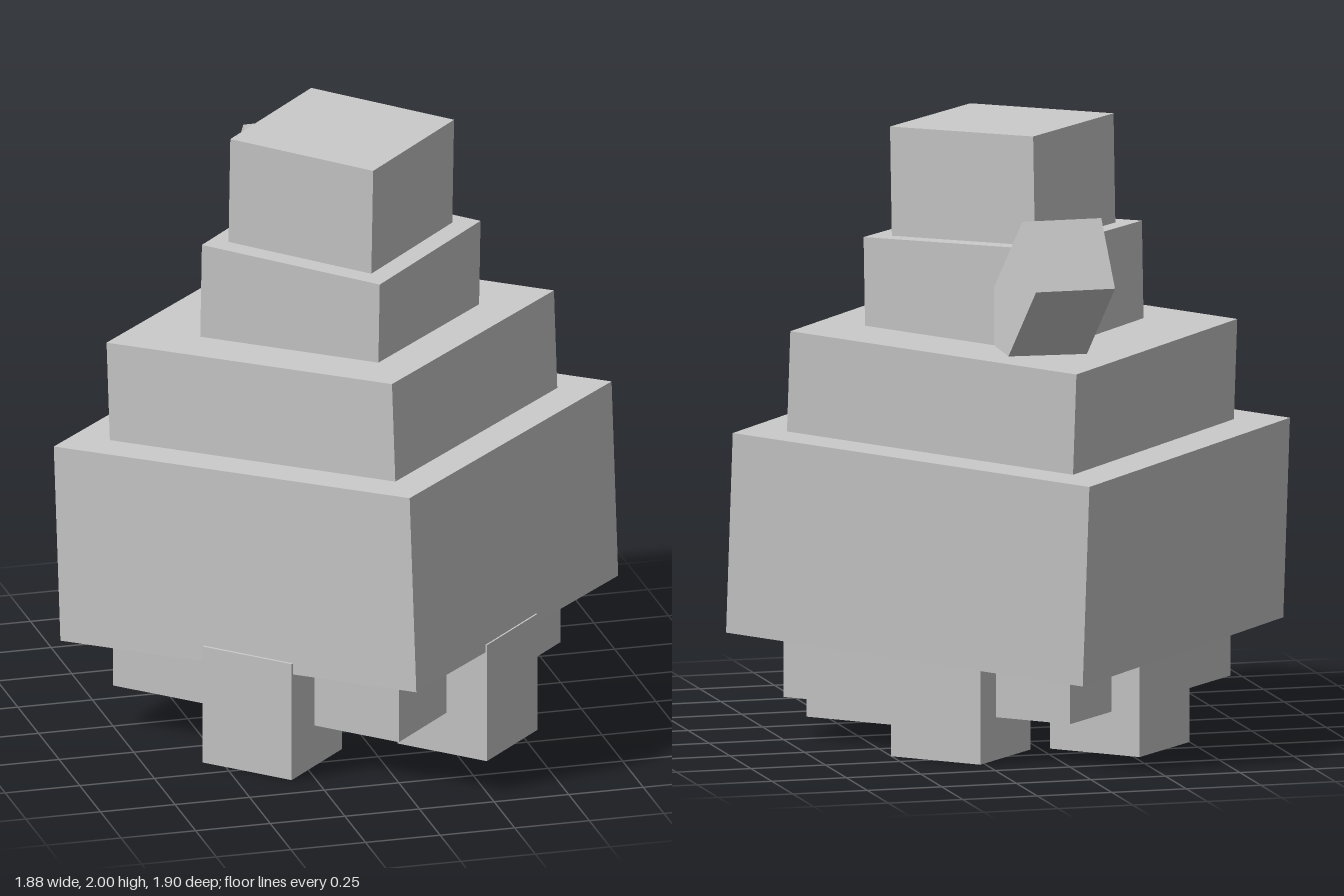
import * as THREE from 'three';

const material = new THREE.MeshStandardMaterial({ color: 0xcccccc, flatShading: true });
const UP = new THREE.Vector3(0, 1, 0);
const quarterTurn = new THREE.Quaternion().setFromAxisAngle(UP, Math.PI / 4);

// Square block standing corner-on: halfDiagonal sets its width, top is the
// centre of its upper face, and lean is the direction of its vertical axis.
function cornerBlock(name, halfDiagonal, height, top, lean = [0, 1, 0]) {
  const side = halfDiagonal * Math.SQRT2;
  const geometry = new THREE.BoxGeometry(side, height, side);
  geometry.translate(0, -height / 2, 0);
  const mesh = new THREE.Mesh(geometry, material);
  mesh.name = name;
  const axis = new THREE.Vector3(...lean).normalize();
  mesh.quaternion.setFromUnitVectors(UP, axis).multiply(quarterTurn);
  mesh.position.set(...top);
  return mesh;
}

export function createModel() {
  const model = new THREE.Group();
  model.name = 'tieredCreature';

  // Lower tiers lean slightly backward, upper tiers slightly forward
  const backLean = [-0.02, 1, -0.05];
  const frontLean = [0.011, 1, 0.021];
  model.add(
    cornerBlock('body', 0.935, 0.66, [-0.01, 0.997, -0.015], backLean),
    cornerBlock('shoulders', 0.75, 0.5, [-0.014, 1.328, -0.03], backLean),
    cornerBlock('neck', 0.467, 0.45, [0.007, 1.635, 0.027], frontLean),
    cornerBlock('head', 0.375, 0.45, [0.01, 1.992, 0.028], frontLean),
    cornerBlock('belly', 0.75, 0.3, [0, 0.44, 0])
  );

  // Tail rising out of the back of the neck
  const tail = new THREE.Mesh(new THREE.BoxGeometry(0.265, 0.6, 0.262), material);
  tail.name = 'tail';
  tail.quaternion.setFromUnitVectors(UP, new THREE.Vector3(0, 0.626, -0.78).normalize());
  tail.position.set(0, 1.487, -0.501);
  model.add(tail);

  // Four legs, the rear pair set closer together
  for (const [place, x, z] of [['front', 0.327, 0.4], ['rear', 0.267, -0.397]]) {
    for (const [side, sign] of [['Left', 1], ['Right', -1]]) {
      model.add(cornerBlock(`${place}${side}Leg`, 0.234, 0.4, [sign * x, 0.4, z]));
    }
  }

  return model;
}
